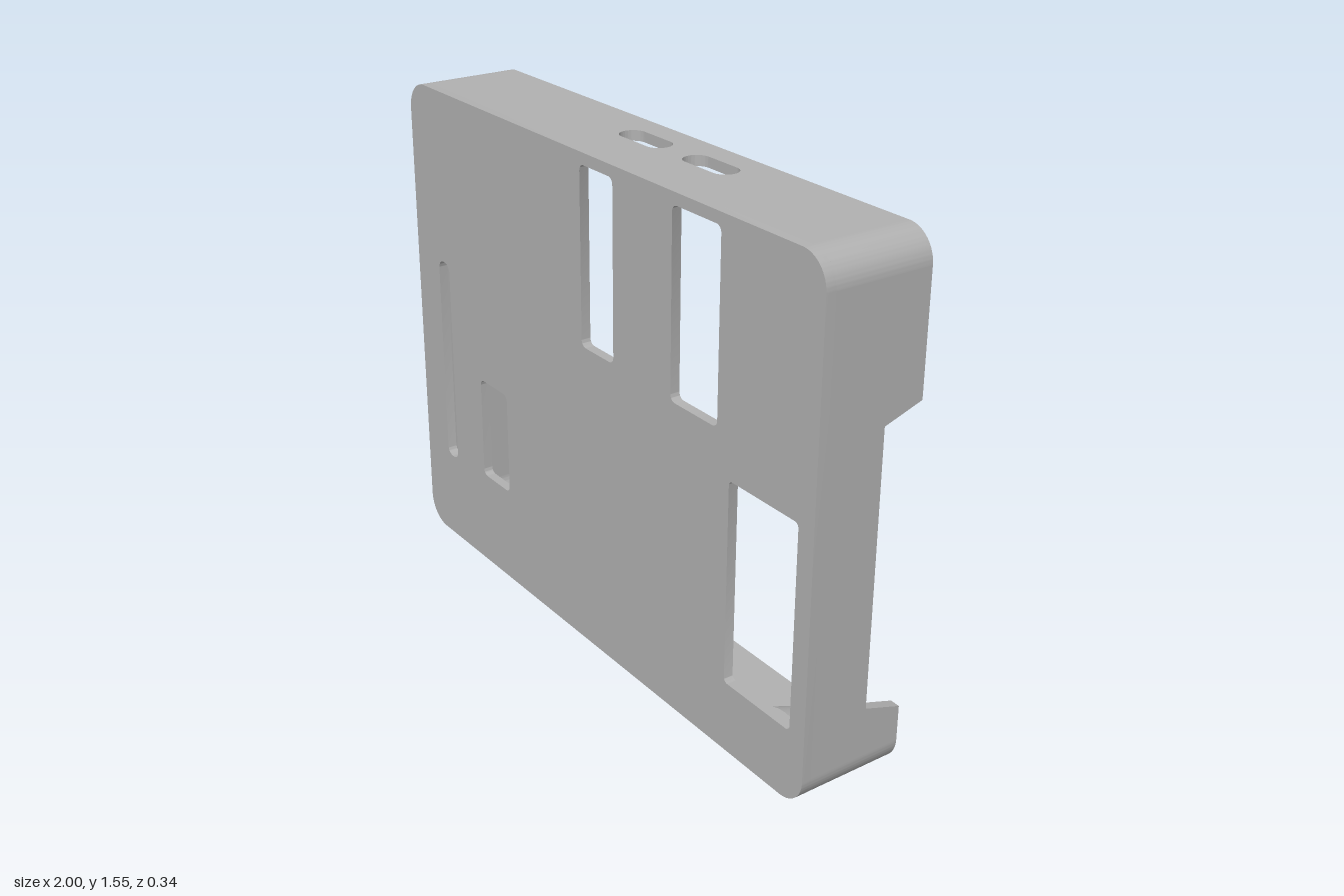
import * as THREE from 'three';
import { toCreasedNormals } from 'three/addons/utils/BufferGeometryUtils.js';

const W = 1, H = 1.555, D = 0.1675;   // half width, height, half depth
const T = 0.031, R = 0.09;            // wall thickness, outer corner radius
const FLOOR = D - 0.03;               // inner side of the face plate

const plastic = new THREE.MeshStandardMaterial({ color: 0xb0b0b0 });
plastic.name = 'greyPlastic';

// Rounded rectangle from its limits, usable as outline or hole
function roundRect(x0, x1, y0, y1, r) {
  const s = new THREE.Shape();
  s.absarc(x1 - r, y0 + r, r, -Math.PI / 2, 0);
  s.absarc(x1 - r, y1 - r, r, 0, Math.PI / 2);
  s.absarc(x0 + r, y1 - r, r, Math.PI / 2, Math.PI);
  s.absarc(x0 + r, y0 + r, r, Math.PI, Math.PI * 1.5);
  s.closePath();
  return s;
}

const extrude = (shape, depth) =>
  new THREE.ExtrudeGeometry(shape, { depth, bevelEnabled: false, curveSegments: 12 });

export function createModel() {
  const group = new THREE.Group();
  group.name = 'enclosureHalf';
  const add = (name, geometry) => {
    const mesh = new THREE.Mesh(toCreasedNormals(geometry, 0.6), plastic);
    mesh.name = name;
    group.add(mesh);
    return mesh;
  };

  // Face plate with its cut-outs
  const face = roundRect(-W, W, 0, H, R);
  face.holes.push(
    roundRect(-0.865, -0.8, 0.3, 0.995, 0.028),
    roundRect(-0.625, -0.465, 0.32, 0.66, 0.02),
    roundRect(-0.03, 0.13, 0.98, 1.52, 0.02),
    roundRect(0.4, 0.605, 0.97, 1.52, 0.02),
    roundRect(0.66, 0.94, 0.22, 0.84, 0.015),
  );
  add('facePlate', extrude(face, D - FLOOR).translate(0, 0, FLOOR));

  // Top wall with two rounded slots
  const top = new THREE.Shape();
  top.moveTo(-W + R, -FLOOR).lineTo(W - R, -FLOOR).lineTo(W - R, D).lineTo(-W + R, D).closePath();
  for (const x of [-0.023, 0.276]) top.holes.push(roundRect(x - 0.101, x + 0.101, 0.01, 0.09, 0.0399));
  add('topWall', extrude(top, T).rotateX(-Math.PI / 2).translate(0, H - T, 0));

  // Left wall with a tapered notch open to the back
  const side = new THREE.Shape([
    [-FLOOR, R], [D, R], [D, 0.2], [0.045, 0.24], [0.045, 1.07], [D, 1.11], [D, H - R], [-FLOOR, H - R],
  ].map(([a, y]) => new THREE.Vector2(a, y)));
  add('leftWall', extrude(side, T).rotateY(Math.PI / 2).translate(W - T, 0, 0));

  // Plain walls
  const depth = D + FLOOR, midZ = (FLOOR - D) / 2;
  add('rightWall', new THREE.BoxGeometry(T, H - 2 * R, depth).translate(-W + T / 2, H / 2, midZ));
  add('bottomWall', new THREE.BoxGeometry(2 * (W - R), T, depth).translate(0, T / 2, midZ));

  // Rounded wall corners
  const arc = new THREE.Shape();
  arc.absarc(0, 0, R, 0, Math.PI / 2);
  arc.absarc(0, 0, R - T, Math.PI / 2, 0, true);
  arc.closePath();
  [[1, 1], [-1, 1], [-1, -1], [1, -1]].forEach(([sx, sy], i) => {
    add('wallCorner', extrude(arc, depth).rotateZ(i * Math.PI / 2)
      .translate(sx * (W - R), H / 2 + sy * (H / 2 - R), -D));
  });

  // Conical screw posts, trimmed where they meet the walls
  const profile = [[0.124, 0], [0.083, 0.127], [0.03, 0.127], [0.03, 0]]
    .map(([r, h]) => new THREE.Vector2(r, h));
  for (const sx of [-1, 1]) for (const sy of [-1, 1]) {
    const post = new THREE.LatheGeometry(profile, 40).rotateX(-Math.PI / 2)
      .translate(sx * 0.885, H / 2 + sy * (H / 2 - 0.112), FLOOR);
    const p = post.attributes.position, m = T * 0.7;
    for (let i = 0; i < p.count; i++) {
      p.setX(i, THREE.MathUtils.clamp(p.getX(i), -W + m, W - m));
      p.setY(i, THREE.MathUtils.clamp(p.getY(i), m, H - m));
    }
    add('screwPost', post);
  }
  return group;
}
